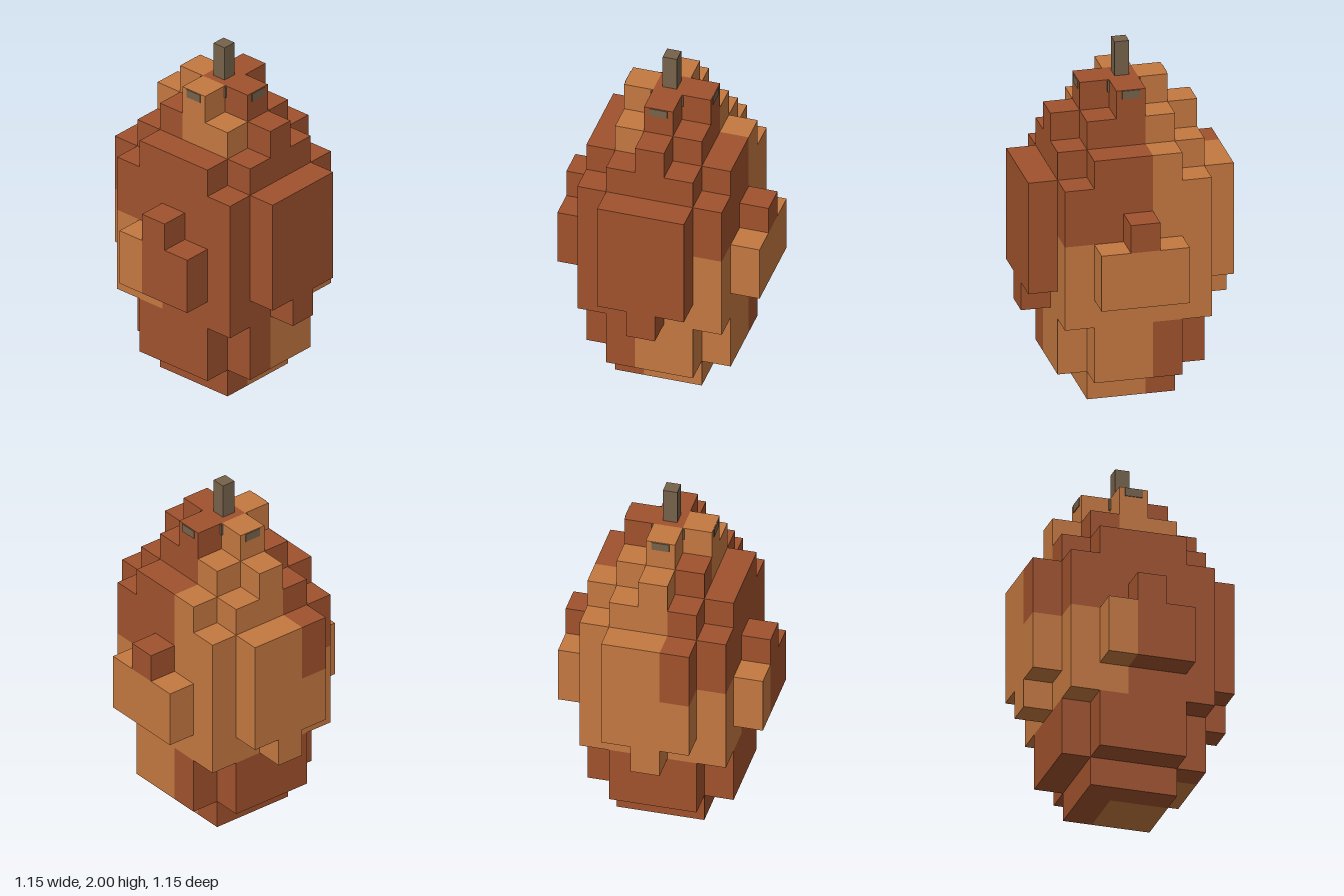
import * as THREE from 'three';
import { mergeGeometries } from 'three/addons/utils/BufferGeometryUtils.js';

const S = 1.8 / 11; // edge of one block; eleven layers tall

// Is there a block at column (x, z) in layer y? Columns run from -3 to 3.
function filled(x, y, z) {
  const ax = Math.abs(x), az = Math.abs(z);
  if (y < 0 || y > 10) return false;
  if (y === 0) return ax <= 1 && az <= 1;
  if (y === 10) return ax + az <= 1;
  if (y === 9) return (ax <= 1 && az <= 1) || (ax === 2 && az === 0);
  if (y <= 2 || y === 8) return ax <= 2 && az <= 2 && ax + az < 4;
  if (ax <= 2 && az <= 2) return true;
  if (ax === 3) return y === 3 ? az === 0 : az <= 1;
  if (az === 3) return y === 4 || y === 5 ? ax <= 1 : y === 6 && ax === 0;
  return false;
}

// Light patches follow the quarters of each height band.
function isLight(x, y, z) {
  if (y <= 2) return x >= 0 && z <= 0;
  if (y <= 5) return x < 0 || (z < 0 && x < 3);
  if (y <= 8) return x < 0 && z < 1;
  return x < 0 ? z < 1 : z === 1;
}

// One square per block side: direction and the turn that faces it.
const SIDES = [
  [0, 0, 1, 0, 0], [0, 0, -1, 0, Math.PI],
  [1, 0, 0, 0, Math.PI / 2], [-1, 0, 0, 0, -Math.PI / 2],
  [0, 1, 0, -Math.PI / 2, 0], [0, -1, 0, Math.PI / 2, 0],
];

// Outer faces of the blocks of one colour between two layers
function blockFaces(from, to, light) {
  const faces = [];
  for (let y = from; y <= to; y++)
    for (let x = -3; x <= 3; x++)
      for (let z = -3; z <= 3; z++) {
        if (!filled(x, y, z) || isLight(x, y, z) !== light) continue;
        for (const [dx, dy, dz, rx, ry] of SIDES) {
          if (filled(x + dx, y + dy, z + dz)) continue;
          faces.push(new THREE.PlaneGeometry(S, S).rotateX(rx).rotateY(ry)
            .translate((x + dx / 2) * S, (y + 0.5 + dy / 2) * S, (z + dz / 2) * S));
        }
      }
  return mergeGeometries(faces);
}

export function createModel() {
  const group = new THREE.Group();
  const material = (name, color) => {
    const m = new THREE.MeshStandardMaterial({ color });
    m.name = name;
    return m;
  };
  const rust = material('rust', 0xa0522d);
  const amber = material('amber', 0xc47840);
  const bark = material('bark', 0x75624a);

  const add = (name, geometry, mat) => {
    const mesh = new THREE.Mesh(geometry, mat);
    mesh.name = name;
    group.add(mesh);
  };

  // Fruit body, in height bands
  const bands = [['base', 0, 2], ['belly', 3, 5], ['shoulder', 6, 8], ['crown', 9, 10]];
  for (const [name, from, to] of bands) {
    add(name + 'Rust', blockFaces(from, to, false), rust);
    add(name + 'Amber', blockFaces(from, to, true), amber);
  }

  // Stem and the cap below it, whose ends just peep out of the crown
  const box = (name, w, y0, y1, d) =>
    add(name, new THREE.BoxGeometry(w, y1 - y0, d).translate(0, (y0 + y1) / 2, 0), bark);
  box('stem', 0.08, 1.75, 2, 0.08);
  box('capCentre', 0.184, 1.73, 1.795, 0.184);
  box('capArmAcross', 0.5, 1.75, 1.797, 0.1);
  box('capArmAlong', 0.1, 1.75, 1.797, 0.5);

  return group;
}
